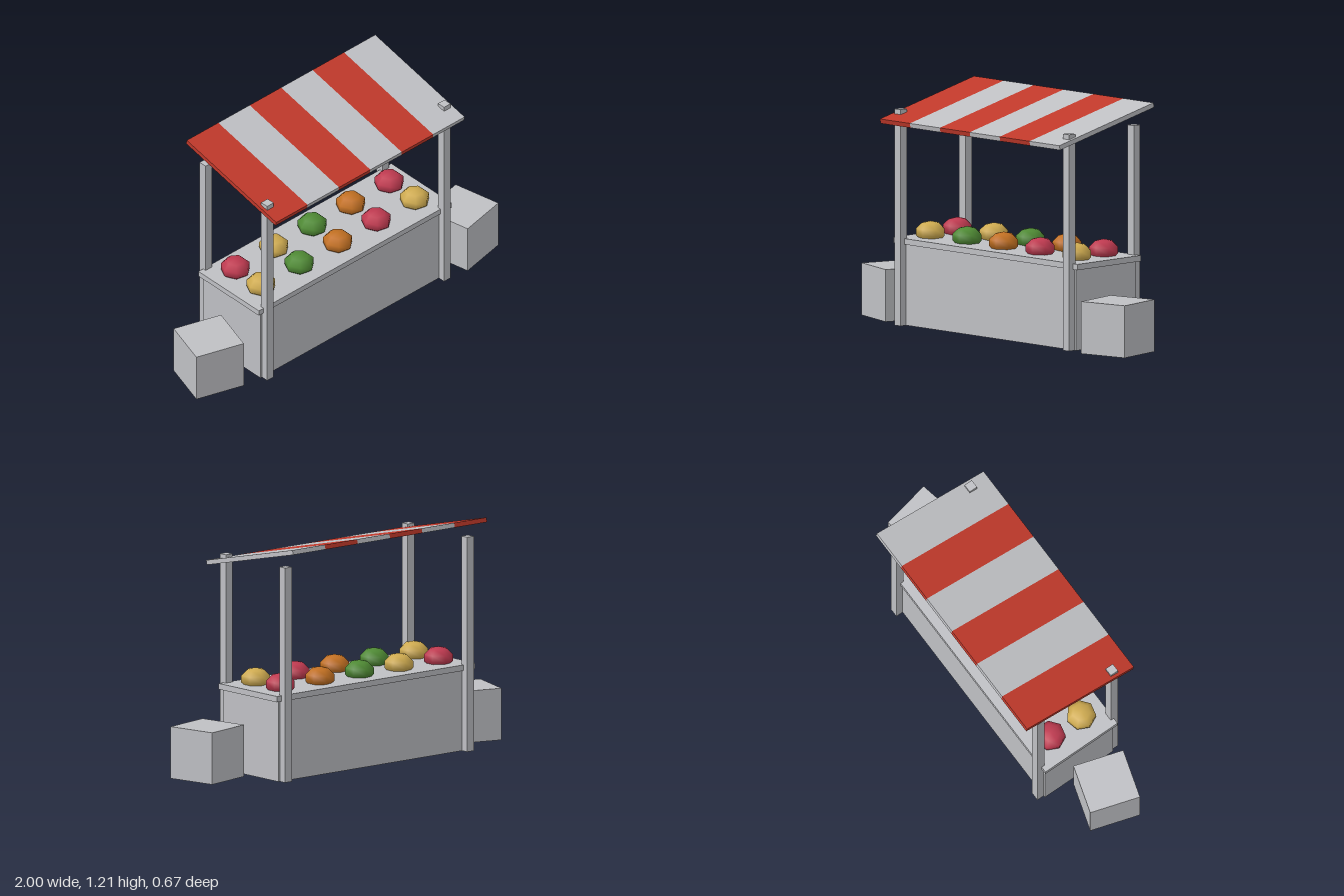
import * as THREE from 'three';

const paint = (name, color) => {
  const m = new THREE.MeshStandardMaterial({ color });
  m.name = name;
  return m;
};

export function createModel() {
  const grey = paint('grey', 0xbfc0c4);
  const stripeRed = paint('stripe red', 0xc0392b);
  const yellow = paint('yellow', 0xcfab50);
  const green = paint('green', 0x4f8a34);
  const orange = paint('orange', 0xc27022);
  const crimson = paint('crimson', 0xbf3a50);

  const stall = new THREE.Group();
  stall.name = 'marketStall';

  const add = (name, geometry, material, x, y, z, parent = stall) => {
    const mesh = new THREE.Mesh(geometry, material);
    mesh.name = name;
    mesh.position.set(x, y, z);
    parent.add(mesh);
    return mesh;
  };
  const box = (w, h, d) => new THREE.BoxGeometry(w, h, d);

  // Counter with an overhanging top
  add('counterBody', box(1.285, 0.415, 0.425), grey, 0, 0.2075, 0);
  add('counterTop', box(1.33, 0.03, 0.45), grey, 0, 0.43, 0);

  // Four posts; the front pair pokes through the awning
  for (const x of [-0.61, 0.61]) {
    for (const z of [-0.229, 0.229]) {
      add(z > 0 ? 'frontPost' : 'backPost', box(0.045, 1.107, 0.045), grey, x, 0.5535, z);
    }
  }

  // Striped awning sloping down to the front
  const awning = new THREE.Group();
  awning.name = 'awning';
  awning.position.set(0, 1.126, 0.002);
  awning.rotation.x = 0.223;
  stall.add(awning);
  const stripes = 6, stripeWidth = 1.3 / stripes;
  for (let i = 0; i < stripes; i++) {
    add('awningStripe', box(stripeWidth, 0.024, 0.683), i % 2 ? grey : stripeRed,
      (i - (stripes - 1) / 2) * stripeWidth, 0, 0, awning);
  }

  // Two rows of flattened low-poly produce
  const fruit = new THREE.SphereGeometry(0.079, 7, 5);
  fruit.scale(1, 0.7, 1);
  const rows = [
    { z: 0.095, colours: [yellow, green, orange, crimson, yellow] },
    { z: -0.095, colours: [crimson, yellow, green, orange, crimson] },
  ];
  for (const { z, colours } of rows) {
    colours.forEach((colour, i) => add('produce', fruit, colour, (i - 2) * 0.265, 0.474, z));
  }

  // Crates standing askew at both ends
  const crate = box(0.266, 0.267, 0.266);
  add('rightCrate', crate, grey, -0.835, 0.1335, 0.035).rotation.y = -0.3;
  add('leftCrate', crate, grey, 0.84, 0.1335, 0.11).rotation.y = 0.2;

  return stall;
}
